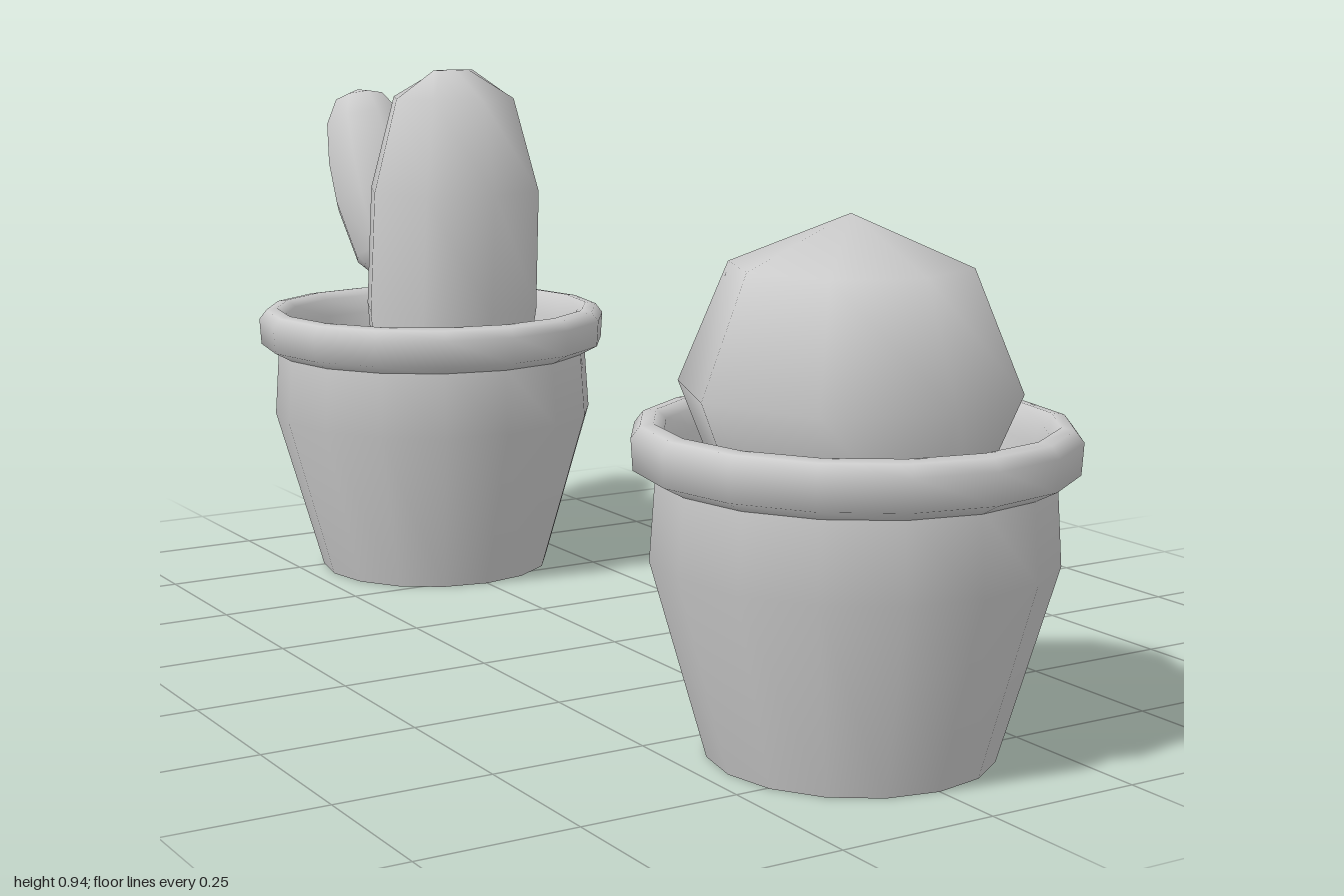
import * as THREE from 'three';

const material = new THREE.MeshStandardMaterial({ color: 0xcccccc });

// Surface of revolution from [radius, height] pairs, listed bottom to top
function lathe(name, profile, sides) {
  const points = profile.map(([r, y]) => new THREE.Vector2(r, y));
  const mesh = new THREE.Mesh(new THREE.LatheGeometry(points, sides), material);
  mesh.name = name;
  return mesh;
}

function makePot(name) {
  const pot = new THREE.Group();
  pot.name = name;
  pot.add(
    lathe('potBase', [[0, 0], [0.213, 0]], 16),
    lathe('potBody', [[0.213, 0], [0.298, 0.295], [0.29, 0.415]], 16),
    // Rolled rim continuing down the inner wall
    lathe('potRim', [[0.288, 0.41], [0.322, 0.428], [0.325, 0.475], [0.312, 0.492],
      [0.292, 0.495], [0.277, 0.482], [0.268, 0.45], [0.262, 0.4]], 16),
    lathe('soil', [[0.264, 0.4], [0, 0.4]], 16),
  );
  return pot;
}

export function createModel() {
  const model = new THREE.Group();
  model.name = 'pottedCacti';

  // Front pot with a round cactus
  const frontPlant = new THREE.Group();
  frontPlant.name = 'roundCactusPlant';
  frontPlant.position.z = 0.672;
  const ball = new THREE.Mesh(new THREE.SphereGeometry(0.25, 8, 4), material);
  ball.name = 'roundCactus';
  ball.position.set(-0.008, 0.54, -0.006);
  frontPlant.add(makePot('frontPot'), ball);

  // Back pot with a tall cactus
  const backPlant = new THREE.Group();
  backPlant.name = 'tallCactusPlant';
  backPlant.position.z = -0.674;
  const trunk = lathe('tallCactus', [[0.15, 0.36], [0.166, 0.5], [0.163, 0.72],
    [0.116, 0.89], [0.04, 0.94], [0, 0.941]], 8);
  // Pinch the crown into a short ridge and lean the stem slightly forward
  const p = trunk.geometry.attributes.position;
  for (let i = 0; i < p.count; i++) {
    const y = p.getY(i);
    const pinch = y > 0.92 ? 0.3 : 1;
    p.setZ(i, p.getZ(i) * pinch + 0.055 + Math.min(y - 0.5, 0.22) * 0.08);
  }
  trunk.geometry.computeVertexNormals();
  // Restore matching normals along the seam of the revolution
  const n = trunk.geometry.attributes.normal;
  const rings = 6;
  for (let j = 0; j < rings; j++) {
    const k = p.count - rings + j;
    const sum = new THREE.Vector3().fromBufferAttribute(n, j)
      .add(new THREE.Vector3().fromBufferAttribute(n, k)).normalize();
    n.setXYZ(j, sum.x, sum.y, sum.z);
    n.setXYZ(k, sum.x, sum.y, sum.z);
  }
  trunk.position.x = 0.012;

  // Leaning arm behind the trunk
  const arm = lathe('cactusArm', [[0, 0], [0.035, 0.008], [0.065, 0.05], [0.08, 0.16],
    [0.079, 0.24], [0.068, 0.32], [0.043, 0.37], [0, 0.39]], 8);
  arm.scale.x = 1.18;
  arm.rotation.x = -0.445;
  arm.position.set(-0.018, 0.537, -0.111);
  backPlant.add(makePot('backPot'), trunk, arm);

  model.add(frontPlant, backPlant);
  return model;
}
